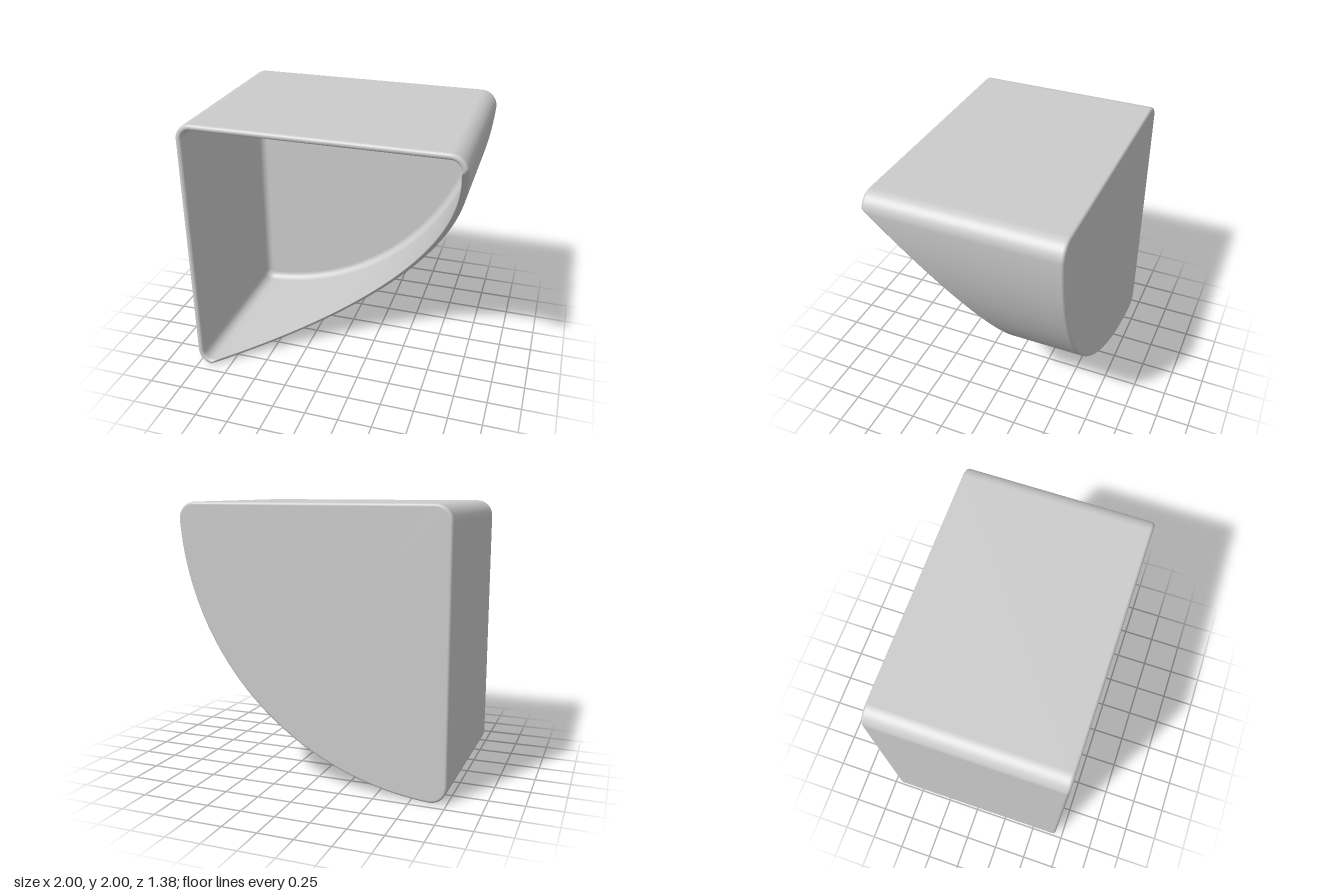
import * as THREE from 'three';

const R = 2.004, CORNER = 0.12, WALL = 0.045, HALF_DEPTH = 0.69;

// Quarter-disc outline, counter-clockwise: points with outward normals.
function makeOutline() {
  const pts = [];
  const arc = (cx, cy, r, a0, a1, n) => {
    for (let i = 0; i <= n; i++) {
      const a = a0 + (a1 - a0) * i / n, nx = Math.cos(a), ny = Math.sin(a);
      pts.push({ x: cx + r * nx, y: cy + r * ny, nx, ny });
    }
  };
  const h = Math.PI / 2;
  const reach = Math.sqrt((R - CORNER) ** 2 - CORNER ** 2);
  const tilt = Math.asin(CORNER / (R - CORNER));
  arc(-1 + reach, 2 - CORNER, CORNER, -tilt, h, 14);
  arc(-1 + CORNER, 2 - CORNER, CORNER, h, 2 * h, 12);
  arc(-1 + CORNER, 2 - reach, CORNER, 2 * h, 3 * h + tilt, 14);
  arc(-1, 2, R, -h + tilt, -tilt, 120);
  // drop the doubled points where the big arc meets the corners
  return pts.filter((p, i) => {
    const q = pts[(i + 1) % pts.length];
    return Math.hypot(p.x - q.x, p.y - q.y) > 1e-6;
  });
}

// Front edge: flat, except where a slanted plane slices off the curved side.
function rimZ(x, y) {
  const s = (x + 1 + 2 - y) / Math.SQRT2;
  return Math.min(HALF_DEPTH, -0.08 + 1.48 * (2 - s));
}

// Wall section as [inset, z, measuredFromRim], from outer back to inner back.
function makeSection() {
  const rows = [];
  const edge = (d, z, r, a0, a1, n, fromRim) => {
    for (let i = 0; i <= n; i++) {
      const a = a0 + (a1 - a0) * i / n;
      rows.push([d - r * Math.cos(a), z + r * Math.sin(a), fromRim]);
    }
  };
  const h = Math.PI / 2, lip = WALL / 2, fillet = 0.06;
  edge(0.02, -HALF_DEPTH + 0.02, 0.02, -h, 0, 5, false);
  edge(lip, -lip, lip, 0, 2 * h, 12, true);
  edge(WALL + fillet, -HALF_DEPTH + WALL + fillet, fillet, 0, -h, 8, false);
  return rows;
}

function makeShell() {
  const outline = makeOutline(), section = makeSection();
  const n = outline.length, pos = [], index = [];
  for (const [d, z, fromRim] of section) {
    for (const p of outline) {
      const x = p.x - p.nx * d, y = p.y - p.ny * d;
      pos.push(x, y, fromRim ? rimZ(x, y) + z : z);
    }
  }
  for (let k = 0; k < section.length - 1; k++) {
    for (let i = 0; i < n; i++) {
      const j = (i + 1) % n;
      const a = k * n + i, b = k * n + j, c = a + n, e = b + n;
      index.push(a, b, e, a, e, c);
    }
  }
  // outer and inner faces of the back panel
  const back = pos.length / 3, last = (section.length - 1) * n;
  pos.push(-0.3, 1.3, -HALF_DEPTH, -0.3, 1.3, -HALF_DEPTH + WALL);
  for (let i = 0; i < n; i++) {
    const j = (i + 1) % n;
    index.push(back, j, i, back + 1, last + i, last + j);
  }
  const geo = new THREE.BufferGeometry();
  geo.setAttribute('position', new THREE.Float32BufferAttribute(pos, 3));
  geo.setIndex(index);
  geo.computeVertexNormals();
  return geo;
}

export function createModel() {
  const group = new THREE.Group();
  group.name = 'quarterRoundBin';
  const shell = new THREE.Mesh(makeShell(), new THREE.MeshStandardMaterial({ color: 0xcccccc }));
  shell.name = 'binShell';
  group.add(shell);
  return group;
}
